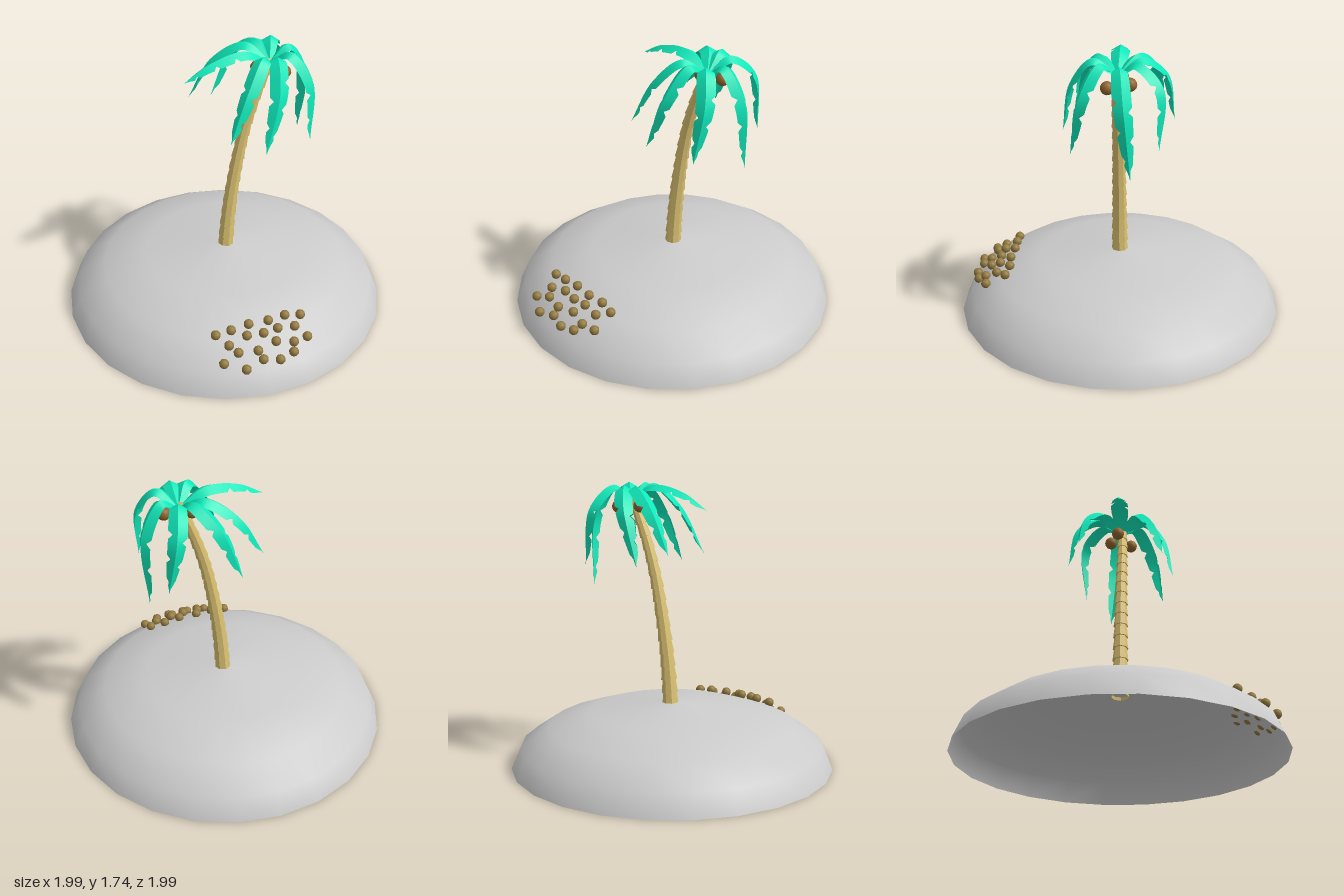
import * as THREE from 'three';

const V = (x, y, z) => new THREE.Vector3(x, y, z);
const UP = V(0, 1, 0);
const material = (color, extra = {}) => new THREE.MeshStandardMaterial({ color, ...extra });

function add(parent, name, geometry, mat) {
  const mesh = new THREE.Mesh(geometry, mat);
  mesh.name = name;
  parent.add(mesh);
  return mesh;
}

// Flattened dome: profile points from the top down to the shore
const DOME = [[0, 0.4], [0.5, 0.346], [0.766, 0.257], [0.94, 0.137], [1, 0]];

function domeHeight(r) {
  for (let i = 1; i < DOME.length; i++) {
    const [r0, y0] = DOME[i - 1], [r1, y1] = DOME[i];
    if (r <= r1) return y0 + (y1 - y0) * (r - r0) / (r1 - r0);
  }
  return 0;
}

// One drooping leaf: a roof-shaped strip along a curve, with cuts in its edges
function frondGeometry(points, width, seed) {
  const curve = new THREE.CatmullRomCurve3(points);
  const steps = 28;
  const heading = points[2].clone().sub(points[0]).setY(0).normalize();
  const across = heading.clone().cross(UP).normalize();
  const positions = [], index = [];
  for (const side of [-1, 1]) {
    const start = positions.length / 3;
    for (let i = 0; i <= steps; i++) {
      const t = i / steps;
      const rib = curve.getPointAt(t);
      const down = across.clone().cross(curve.getTangentAt(t)).normalize().negate();
      let w = width * (0.12 + 0.88 * Math.pow(Math.sin(Math.PI * Math.pow(t, 0.8)), 0.75));
      if (t > 0.9) w *= (1 - t) / 0.1;
      // narrow cuts towards the tip
      if (t > 0.4 && (i + seed + (side > 0 ? 2 : 0)) % 6 === 0) w *= 0.55;
      const edge = rib.clone().addScaledVector(across, side * w * 0.85).addScaledVector(down, w * 0.5);
      positions.push(...rib.toArray(), ...edge.toArray());
      if (i < steps) {
        const a = start + i * 2;
        if (side > 0) index.push(a, a + 1, a + 2, a + 1, a + 3, a + 2);
        else index.push(a, a + 2, a + 1, a + 1, a + 2, a + 3);
      }
    }
  }
  const geometry = new THREE.BufferGeometry();
  geometry.setAttribute('position', new THREE.Float32BufferAttribute(positions, 3));
  geometry.setIndex(index);
  geometry.computeVertexNormals();
  return geometry;
}

export function createModel() {
  const model = new THREE.Group();
  model.name = 'palmIsland';
  const bark = material(0xd8bf70, { flatShading: true, side: THREE.DoubleSide });
  const leaf = material(0x10e8ba, { side: THREE.DoubleSide });
  const shell = material(0x92793f);
  const darkShell = material(0x91652f);

  // Island, open underneath
  const island = add(model, 'island',
    new THREE.LatheGeometry(DOME.map(([r, y]) => new THREE.Vector2(r, y)).reverse(), 24),
    material(0xcccccc, { side: THREE.DoubleSide }));
  island.rotation.y = -0.084;

  // Trunk: stacked tapering collars along a leaning curve
  const trunk = new THREE.Group();
  trunk.name = 'trunk';
  model.add(trunk);
  const lean = new THREE.CatmullRomCurve3([
    V(0.01, 0.38, 0), V(0.027, 0.6, 0), V(0.052, 0.8, 0), V(0.085, 1.0, 0),
    V(0.127, 1.2, 0), V(0.187, 1.4, 0), V(0.285, 1.65, -0.005),
  ]);
  const collars = 16;
  for (let i = 0; i < collars; i++) {
    const a = lean.getPointAt(i / collars), b = lean.getPointAt((i + 1) / collars);
    const r = 0.053 - 0.021 * i / collars;
    const length = a.distanceTo(b) + 0.008;
    const collar = add(trunk, 'trunkCollar',
      new THREE.CylinderGeometry(r * 0.78, r, length, 8, 1, i === 0), bark);
    collar.position.copy(a).lerp(b, 0.5);
    collar.quaternion.setFromUnitVectors(UP, b.clone().sub(a).normalize());
  }

  // Crown: each leaf rises from the trunk top, then falls to its tip
  const crown = new THREE.Group();
  crown.name = 'crown';
  model.add(crown);
  const top = V(0.29, 1.64, -0.01);
  const fronds = [
    [V(0.13, 1.735, -0.01), V(-0.08, 1.70, 0), V(-0.25, 1.60, 0)],
    [V(0.18, 1.735, -0.12), V(0.0, 1.61, -0.22), V(-0.14, 1.35, -0.25)],
    [V(0.25, 1.735, -0.14), V(0.15, 1.61, -0.29), V(0.03, 1.28, -0.33)],
    [V(0.34, 1.735, -0.13), V(0.41, 1.60, -0.28), V(0.46, 1.25, -0.26)],
    [V(0.41, 1.725, -0.03), V(0.54, 1.53, -0.06), V(0.52, 1.09, -0.10)],
    [V(0.38, 1.735, 0.09), V(0.48, 1.57, 0.19), V(0.45, 1.21, 0.25)],
    [V(0.28, 1.735, 0.13), V(0.24, 1.57, 0.27), V(0.14, 1.23, 0.33)],
    [V(0.20, 1.735, 0.10), V(0.07, 1.59, 0.21), V(-0.06, 1.30, 0.27)],
  ];
  fronds.forEach((path, i) =>
    add(crown, 'frond', frondGeometry([top, ...path], 0.065, i), leaf));

  // Coconuts hanging under the crown
  for (const p of [V(0.36, 1.585, 0.045), V(0.335, 1.6, -0.085), V(0.215, 1.605, -0.03)]) {
    add(crown, 'hangingCoconut', new THREE.SphereGeometry(0.04, 12, 8), darkShell).position.copy(p);
  }

  // Loose coconuts in staggered rows on the front slope
  const patch = new THREE.Group();
  patch.name = 'looseCoconuts';
  model.add(patch);
  const coconut = new THREE.SphereGeometry(0.03, 10, 7);
  [6, 5, 6, 4].forEach((count, row) => {
    for (let i = 0; i < count; i++) {
      const x = -0.04 + (i - (count - 1) / 2) * 0.108 + 0.012 * Math.sin(row * 3 + i * 5);
      const z = 0.69 + row * 0.07 + 0.012 * Math.sin(row * 7 + i * 3);
      add(patch, 'looseCoconut', coconut, shell)
        .position.set(x, domeHeight(Math.hypot(x, z)) + 0.02, z);
    }
  });
  return model;
}
